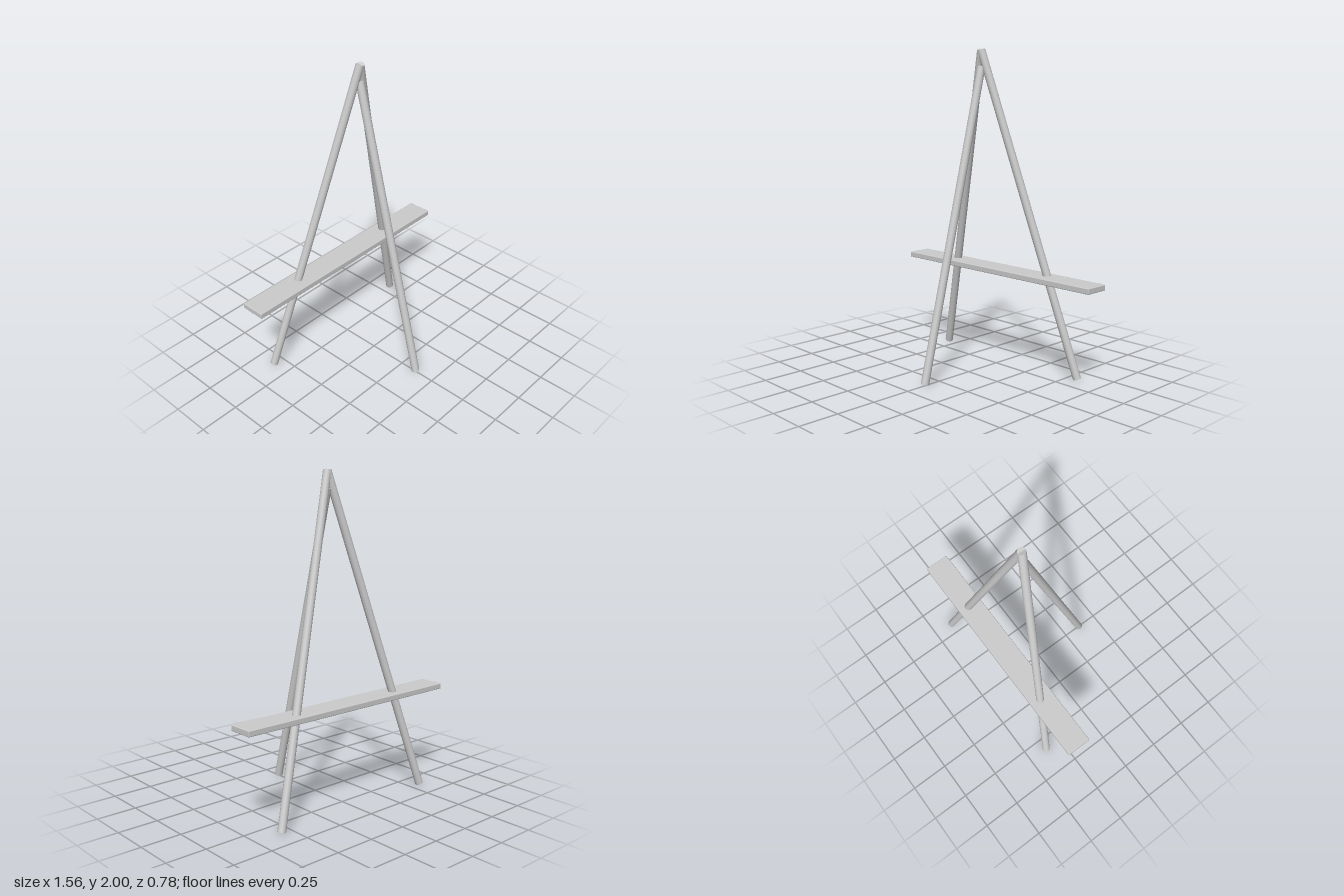
import * as THREE from 'three';
import { RoundedBoxGeometry } from 'three/addons/geometries/RoundedBoxGeometry.js';

const RADIUS = 0.025;

// Round pole running between two points
function pole(name, from, to, material) {
  const a = new THREE.Vector3(...from);
  const b = new THREE.Vector3(...to);
  const dir = b.clone().sub(a);
  const mesh = new THREE.Mesh(new THREE.CylinderGeometry(RADIUS, RADIUS, dir.length(), 16), material);
  mesh.name = name;
  mesh.position.copy(a).add(b).multiplyScalar(0.5);
  mesh.quaternion.setFromUnitVectors(new THREE.Vector3(0, 1, 0), dir.normalize());
  return mesh;
}

export function createModel() {
  const group = new THREE.Group();
  group.name = 'easel';
  const grey = new THREE.MeshStandardMaterial({ color: 0xcccccc });
  grey.name = 'light grey';

  // Pair of splayed legs meeting at the apex
  for (const [name, s] of [['leftLeg', 1], ['rightLeg', -1]]) {
    group.add(pole(name, [s * 0.573, 0.007, -0.366], [0, 1.993, -0.106], grey));
  }

  // Single supporting leg
  group.add(pole('supportLeg', [0, 0.007, 0.365], [0, 1.892, -0.108], grey));

  // Shelf plank resting across the pair of legs
  const shelf = new THREE.Mesh(new RoundedBoxGeometry(1.56, 0.036, 0.16, 2, 0.005), grey);
  shelf.name = 'shelf';
  shelf.position.set(0, 0.617, -0.272);
  group.add(shelf);

  return group;
}
